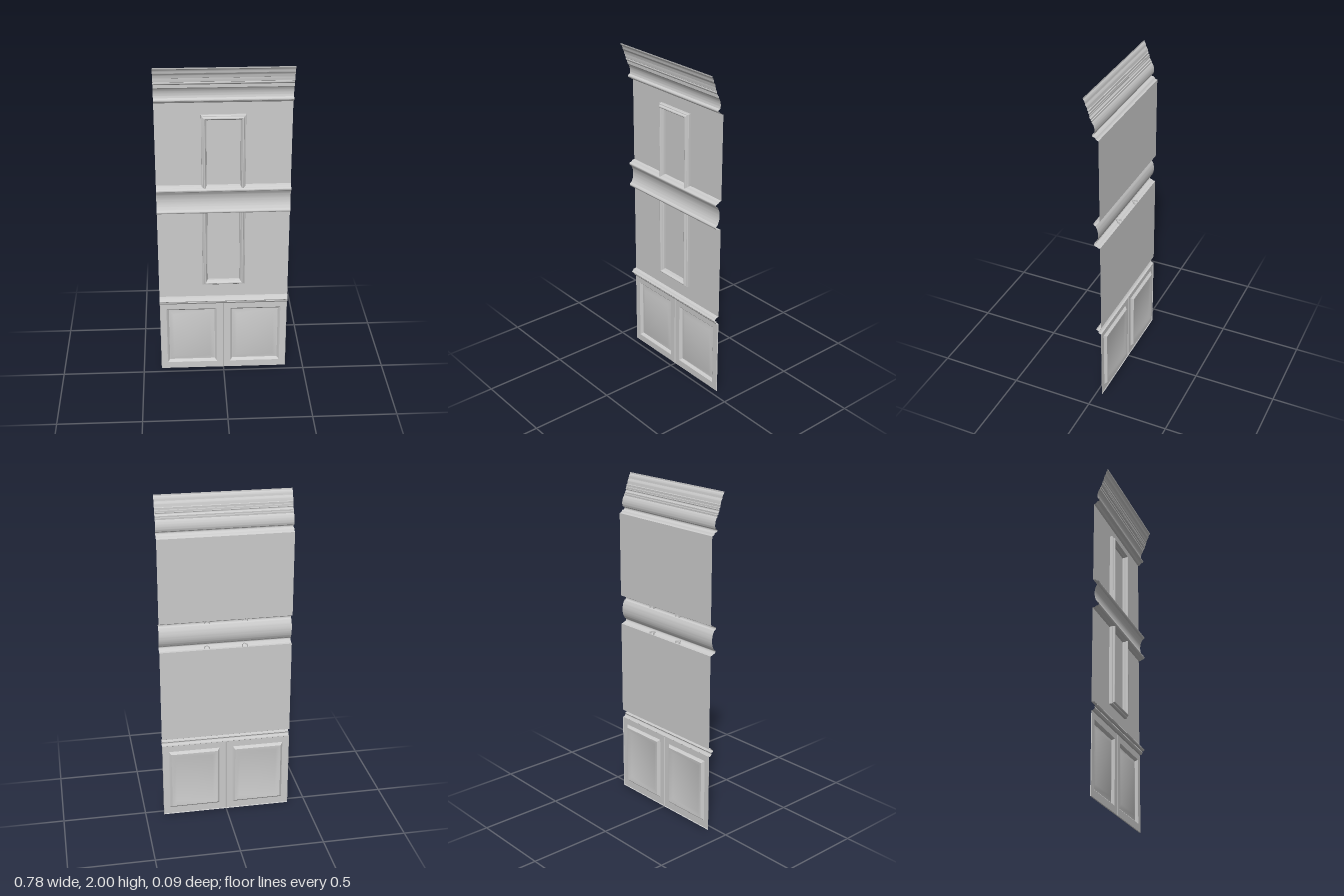
import * as THREE from 'three';
import { toCreasedNormals } from 'three/addons/utils/BufferGeometryUtils.js';

const HALF = 0.39;    // half the width of the panelling
const WALL = -0.038;  // z of the flat wall sheet

const material = new THREE.MeshStandardMaterial({ color: 0xcccccc, side: THREE.DoubleSide });

// Skin a series of rings, each a list of [x, y, z] corners
function skin(name, rings, closed = false) {
  const pos = [];
  for (let i = 0; i < rings.length - 1; i++) {
    const r = rings[i], s = rings[i + 1], n = r.length;
    for (let j = 0; j < (closed ? n : n - 1); j++) {
      const k = (j + 1) % n;
      pos.push(...r[j], ...r[k], ...s[k], ...r[j], ...s[k], ...s[j]);
    }
  }
  const geo = new THREE.BufferGeometry();
  geo.setAttribute('position', new THREE.Float32BufferAttribute(pos, 3));
  const mesh = new THREE.Mesh(toCreasedNormals(geo, 0.5), material);
  mesh.name = name;
  return mesh;
}

// Full-width moulding from a [y, z] profile running upwards
const moulding = (name, profile) =>
  skin(name, profile.map(([y, z]) => [[-HALF, y, z], [HALF, y, z]]));

// Points of a smooth curve through a few [y, z] points
const smooth = (points, n = 10) =>
  new THREE.SplineCurve(points.map(p => new THREE.Vector2(...p))).getPoints(n).map(p => [p.x, p.y]);

// Three-sided picture-frame moulding, mitred; dir = 1 closes at the top, -1 at the bottom
function panelFrame(name, yOpen, yClosed, dir) {
  const profile = [[0, WALL], [0, -0.024], [0.004, -0.019], [0.008, -0.018], ...smooth([[0.009, -0.016],
    [0.013, -0.009], [0.019, -0.008], [0.024, -0.014]], 8), [0.026, -0.022], [0.031, -0.026], [0.032, WALL]];
  return skin(name, profile.map(([d, z]) => {
    const x = (0.127 - d) * dir, y = yClosed - d * dir;
    return [[x, yOpen, z], [x, y, z], [-x, y, z], [-x, yOpen, z]];
  }));
}

// Wainscot door: flat border, sunk groove and bevelled field
function wainscotPanel(name, cx) {
  const rect = (w, h, cy, z) => [[cx - w, cy - h, z], [cx + w, cy - h, z], [cx + w, cy + h, z], [cx - w, cy + h, z]];
  const w = HALF / 2, cy = 0.2375;
  return skin(name, [
    rect(w, cy, cy, WALL),
    rect(w - 0.003, cy - 0.003, cy, -0.034),
    rect(0.155, 0.194, 0.24, -0.034),
    rect(0.150, 0.189, 0.24, -0.038),
    rect(0.141, 0.180, 0.24, -0.049),
    rect(0.136, 0.175, 0.24, -0.049),
    rect(0.112, 0.151, 0.24, -0.041),
    rect(0, 0, 0.24, -0.041),
  ], true);
}

export function createModel() {
  const group = new THREE.Group();
  group.name = 'wallPanelling';

  // Wainscot doors
  for (const s of [-1, 1]) group.add(wainscotPanel(s > 0 ? 'leftWainscotPanel' : 'rightWainscotPanel', s * HALF / 2));

  // Wainscot cap rail
  group.add(moulding('wainscotRail', [
    [0.475, WALL], [0.475, -0.026], ...smooth([[0.480, -0.022], [0.487, -0.018], [0.493, -0.02]], 6),
    [0.496, -0.022], [0.497, -0.01], ...smooth([[0.499, -0.008], [0.504, -0.005], [0.509, -0.008]], 6),
    [0.511, -0.012], [0.514, -0.014], [0.520, -0.018], [0.523, WALL],
  ]));

  // Flat wall sheets
  group.add(moulding('lowerWall', [[0.523, WALL], [1.09, WALL]]));
  group.add(moulding('upperWall', [[1.268, WALL], [1.77, WALL]]));

  // Middle rail: two beads with a cove between
  group.add(moulding('middleRail', [
    [1.09, WALL], [1.092, -0.024], [1.097, -0.018], [1.099, -0.008],
    ...smooth([[1.101, -0.004], [1.108, 0], [1.116, -0.002], [1.121, -0.008]], 10),
    ...smooth([[1.122, -0.012], [1.145, -0.023], [1.178, -0.028], [1.211, -0.023], [1.234, -0.012]], 18),
    ...smooth([[1.236, -0.006], [1.241, -0.001], [1.249, 0], [1.255, -0.006]], 10),
    [1.257, -0.016], [1.264, -0.022], [1.268, WALL],
  ]));

  // Decorative frames on both wall fields
  group.add(panelFrame('upperFrame', 1.25, 1.70, 1));
  group.add(panelFrame('lowerFrame', 1.105, 0.61, -1));

  // Stepped crown cornice
  group.add(moulding('cornice', [
    [1.77, WALL], [1.773, -0.028], ...smooth([[1.776, -0.024], [1.783, -0.02], [1.787, -0.014]], 6),
    [1.788, -0.006], ...smooth([[1.790, -0.003], [1.796, -0.001], [1.802, -0.004]], 6),
    [1.806, -0.012], ...smooth([[1.807, -0.014], [1.825, -0.018], [1.850, -0.014], [1.866, -0.006]], 10),
    [1.870, -0.002], [1.880, -0.002], [1.881, 0.004], [1.890, 0.004], [1.892, 0.007],
    ...smooth([[1.894, 0.009], [1.900, 0.012], [1.906, 0.010]], 6),
    [1.908, 0.012], [1.918, 0.014], [1.919, 0.018], [1.932, 0.018], [1.934, 0.022],
    ...smooth([[1.936, 0.023], [1.948, 0.024], [1.958, 0.029], [1.963, 0.033]], 8),
    ...smooth([[1.966, 0.034], [1.975, 0.035], [1.985, 0.039], [1.992, 0.045]], 8), [2, 0.046],
  ]));

  return group;
}
